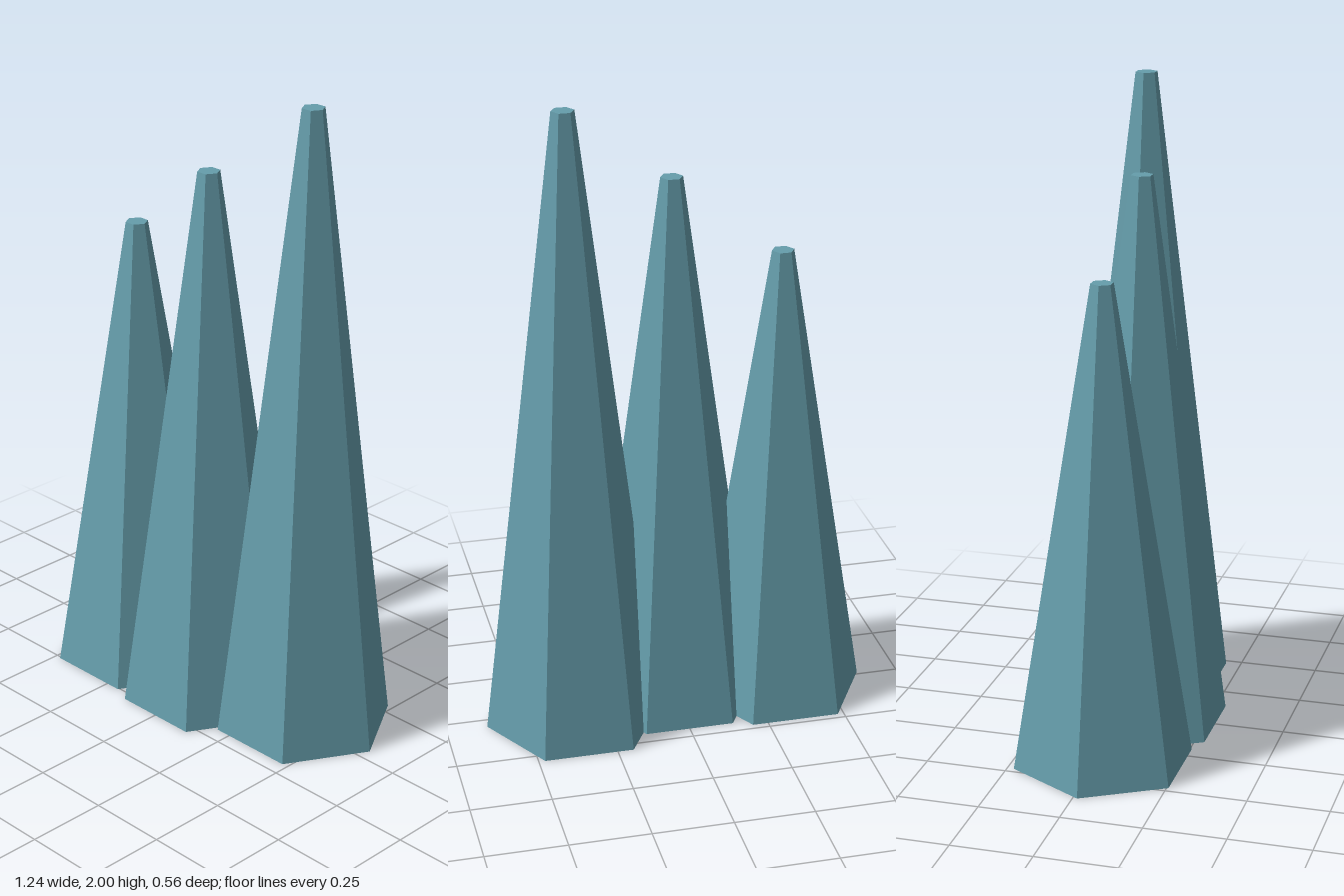
import * as THREE from 'three';

export function createModel() {
  const group = new THREE.Group();
  group.name = 'crystalSpires';

  const crystalBlue = new THREE.MeshStandardMaterial({ color: 0x659dab });
  crystalBlue.name = 'crystalBlue';

  // Tapered six-sided spire with a corner pointing along +x
  function addSpire(name, height, x, z) {
    const geometry = new THREE.CylinderGeometry(0.035, 0.28, height, 6, 1, false, Math.PI / 6).toNonIndexed();
    geometry.computeVertexNormals(); // flat facets
    const spire = new THREE.Mesh(geometry, crystalBlue);
    spire.name = name;
    spire.position.set(x, height / 2, z);
    group.add(spire);
  }

  // Three overlapping spires, rising towards +x
  addSpire('shortSpire', 1.5, -0.34, 0.0135);
  addSpire('middleSpire', 1.75, 0, 0.0385);
  addSpire('tallSpire', 2, 0.34, -0.0415);

  return group;
}
